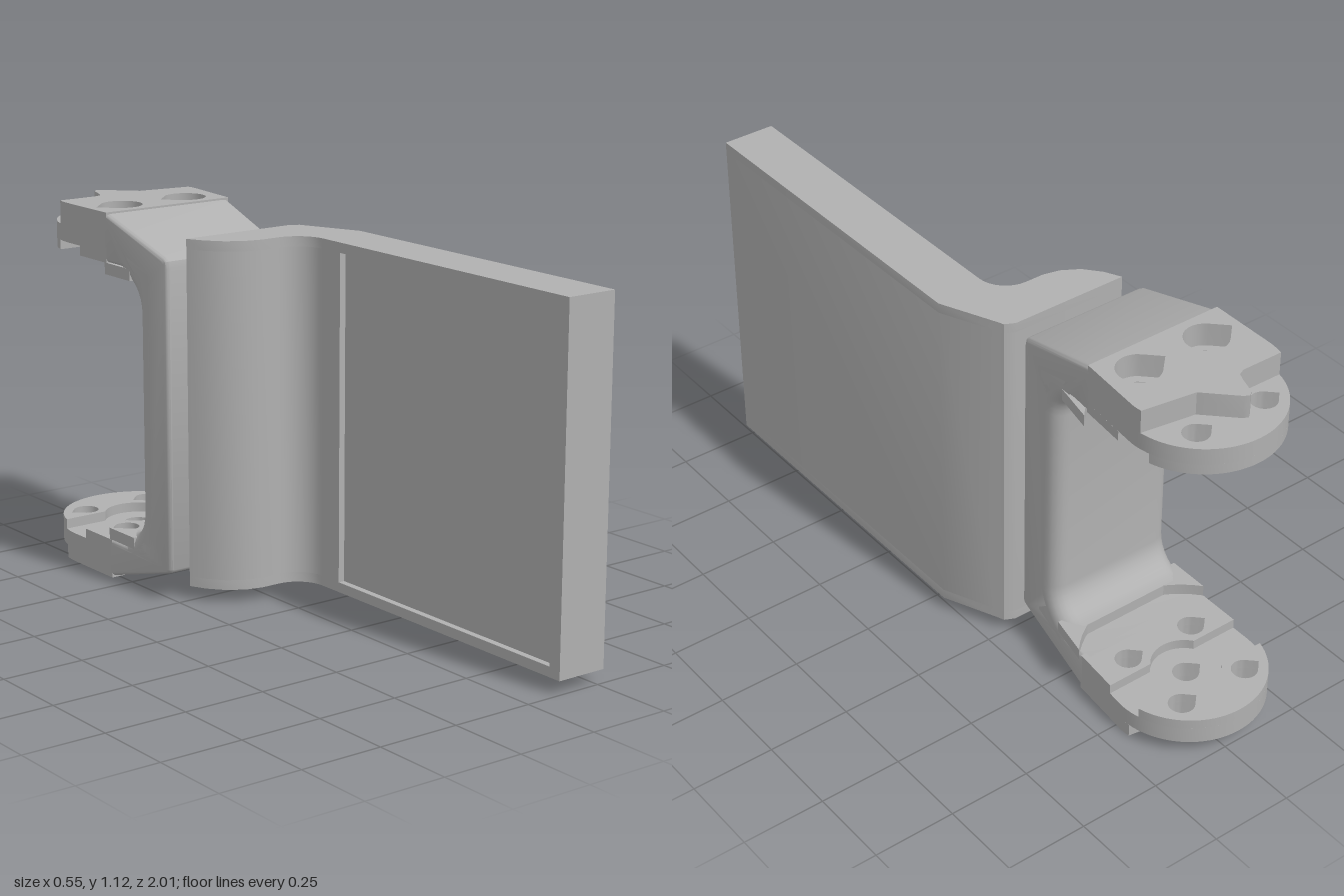
import * as THREE from 'three';
import { toCreasedNormals } from 'three/addons/utils/BufferGeometryUtils.js';

const plastic = new THREE.MeshStandardMaterial({ color: 0xb0b0b0 });
plastic.name = 'grey plastic';

const CX = -0.045, CZ = -0.775, R = 0.23; // centre and radius of the round arm ends
const LEFT = -0.275;                      // straight side of the bracket
const rightAt = z => 0.135 - (z + 0.26) * 0.098; // tapered side
const MID = 0.545;                        // mirror height of the two arms

// points on a circle
function arc(cx, cy, r, a0, a1, n = 12) {
  return Array.from({ length: n + 1 }, (_, i) => {
    const a = a0 + (a1 - a0) * i / n;
    return [cx + r * Math.cos(a), cy + r * Math.sin(a)];
  });
}

// round hole with a point towards -x
function teardrop(x, z, r) {
  return [[x - r * 1.414, z], ...arc(x, z, r, -Math.PI * 0.75, Math.PI * 0.75, 20)];
}

const toPath = (Type, pts) => new Type(pts.map(([x, z]) => new THREE.Vector2(x, -z)));

function mesh(name, geometry) {
  const m = new THREE.Mesh(toCreasedNormals(geometry, 0.6), plastic);
  m.name = name;
  return m;
}

// horizontal layer: outline of [x, z] points between two heights
function slab(name, pts, ya, yb, holes = []) {
  const shape = toPath(THREE.Shape, pts);
  shape.holes = holes.map(h => toPath(THREE.Path, h));
  const g = new THREE.ExtrudeGeometry(shape, { depth: Math.abs(yb - ya), bevelEnabled: false });
  g.rotateX(-Math.PI / 2).translate(0, Math.min(ya, yb), 0);
  return mesh(name, g);
}

// side profile of [-z, y] points drawn across the bracket width, edges rounded by b
function crossBar(name, pts, b) {
  const shape = new THREE.Shape(pts.map(p => new THREE.Vector2(...p)));
  const g = new THREE.ExtrudeGeometry(shape, {
    depth: 0.41 - 2 * b, bevelThickness: b, bevelSize: b, bevelOffset: -b, bevelSegments: 5,
  });
  g.translate(0, 0, b).rotateY(Math.PI / 2);
  const p = g.attributes.position;
  for (let i = 0; i < p.count; i++) {
    const t = p.getX(i) / 0.41;
    p.setX(i, LEFT + t * (rightAt(p.getZ(i)) - LEFT));
  }
  return mesh(name, g);
}

// cranked mounting plate with a shallow panel recess and a slot underneath
function mountingPlate() {
  const group = new THREE.Group();
  group.name = 'mountingPlate';
  const outline = recess => [
    [0.27, 1], [0.27, -0.06], [0.2, -0.22], [0.19, -0.245], [0.16, -0.26], [-0.205, -0.26],
    [-0.18, -0.21], [-0.14, -0.162], [-0.09, -0.132], [-0.04, -0.12],
    ...arc(0.02, -0.03, 0.09, -Math.PI / 2, 0, 8),
    ...(recess ? [[0.11, 0.05], [0.13, 0.05], [0.13, 0.96], [0.11, 0.96]] : []),
    [0.11, 1],
  ];
  const slot = [
    [0.15, 0.7], [0.22, 0.7], [0.22, 0.6], [0.2, 0.6], [0.2, 0.45], [0.22, 0.45],
    [0.22, 0.25], [0.17, 0.25], [0.17, 0.6], [0.15, 0.6],
  ];
  group.add(
    slab('plateBottom', outline(false), 0.04, 0.07, [slot]),
    slab('platePanel', outline(true), 0.07, 1.05),
    slab('plateTop', outline(false), 1.05, 1.08),
  );
  return group;
}

// C-shaped spine with rounded inner edges
function spine() {
  const group = new THREE.Group();
  group.name = 'spine';
  const inner = (r, y, flat) => [
    ...arc(flat, y + r, r, -Math.PI / 2, -Math.PI, 8),
    ...arc(flat, 2 * MID - y - r, r, Math.PI, Math.PI / 2, 8),
  ];
  group.add(
    crossBar('spineFrame', [
      [0.26, 0.1], [0.265, 0.092], [0.28, 0.085], [0.59, 0], [0.59, 0.12],
      ...inner(0.14, 0.12, 0.51),
      [0.59, 0.97], [0.59, 1.12], [0.28, 1.03], [0.265, 1.02], [0.26, 1],
    ], 0.015),
    crossBar('spineLining', [
      [0.30, 0.09], [0.51, 0.04], ...inner(0.09, 0.155, 0.51), [0.51, 1.06], [0.30, 1.01],
    ], 0.05),
  );
  return group;
}

// round-ended arm; up is 1 for the top arm, -1 for the bottom one
function arm(name, up, padHeight) {
  const group = new THREE.Group();
  group.name = name;
  const y = t => MID + up * t;
  const START = -0.57;
  const base = [[LEFT, START], [rightAt(START), START]];
  const rim = (a0, a1, n) => arc(CX, CZ, R, -a0, -a1, n);
  const back = [-0.115, 0.115].map(dx => teardrop(CX + dx, CZ - 0.115, 0.038));
  const near = [-0.115, 0.115].map(dx => teardrop(CX + dx, CZ + 0.115, 0.038));
  const bores = [-0.115, 0.115].map(dx => teardrop(CX + dx, CZ + 0.115, 0.063));
  const centre = up < 0 ? [teardrop(CX, CZ, 0.038)] : [];

  // disc
  group.add(slab('disc', [...base, ...rim(0, Math.PI, 40)], y(0.455), y(0.505), [...back, ...near, ...centre]));

  // inner layer, parted by a channel with a round middle
  const h = 0.06, c = 0.6435, a = Math.asin(h / R);
  group.add(slab('innerLayerNear', [
    ...base, [rightAt(CZ + h), CZ + h], ...arc(CX, CZ, 0.1, c, Math.PI - c, 12), [LEFT, CZ + h],
  ], y(0.425), y(0.455), near));
  group.add(slab('innerLayerFar', [
    ...rim(a, Math.PI - a, 36), ...arc(CX, CZ, 0.1, Math.PI + c, Math.PI * 2 - c, 12),
  ], y(0.425), y(0.455), back));

  // outer pad with a wavy far edge and wide screw recesses
  group.add(slab('outerPad', [
    ...base, ...rim(0, 0.13, 2), [0.02, -0.83], [-0.065, -0.915], [-0.08, -0.922], [-0.094, -0.91],
    [-0.11, -0.86], [-0.12, -0.837], [-0.14, -0.828], ...rim(Math.PI - 0.24, Math.PI, 3),
  ], y(0.505), y(padHeight), [...bores, ...centre]));

  // curved step where the arm thickens towards the spine
  group.add(slab('curvedStep', [
    [LEFT, -0.45], [rightAt(-0.45), -0.45], ...arc(CX, CZ, 0.3, 0.72, Math.PI - 0.7, 16),
  ], y(0.39), y(0.425)));
  return group;
}

export function createModel() {
  const model = new THREE.Group();
  model.name = 'bracket';
  model.add(mountingPlate(), spine(), arm('topArm', 1, 0.575), arm('bottomArm', -1, 0.545));
  return model;
}
